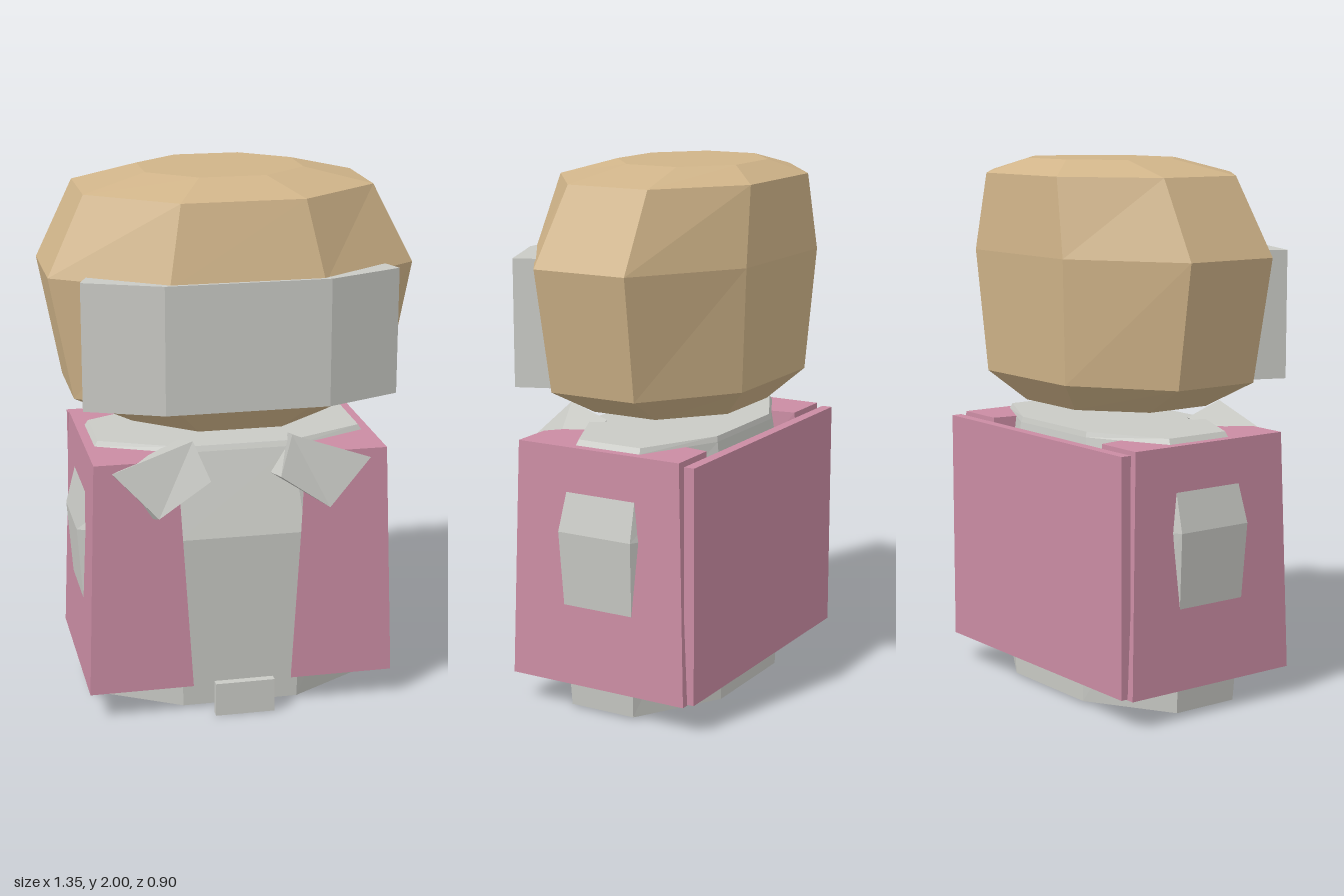
import * as THREE from 'three';

const tan = new THREE.MeshStandardMaterial({ name: 'tan', color: 0xd0b489, flatShading: true });
const pink = new THREE.MeshStandardMaterial({ name: 'pink', color: 0xca8ca3, flatShading: true });
const grey = new THREE.MeshStandardMaterial({ name: 'pale grey', color: 0xc9cac5, flatShading: true });

// Closed faceted solid through rings of equal point count (counter-clockwise seen from the last ring)
function loft(rings) {
  const pos = [];
  const tri = (...pts) => pts.forEach((p) => pos.push(...p));
  const n = rings[0].length;
  for (let r = 0; r < rings.length - 1; r++) {
    for (let i = 0; i < n; i++) {
      const j = (i + 1) % n;
      const a = rings[r][i], b = rings[r][j], c = rings[r + 1][j], d = rings[r + 1][i];
      tri(a, b, c);
      tri(a, c, d);
    }
  }
  const first = rings[0], last = rings[rings.length - 1];
  for (let i = 1; i < n - 1; i++) {
    tri(first[0], first[i + 1], first[i]);
    tri(last[0], last[i], last[i + 1]);
  }
  const g = new THREE.BufferGeometry();
  g.setAttribute('position', new THREE.Float32BufferAttribute(pos, 3));
  g.computeVertexNormals();
  return g;
}

// Horizontal ring from [x, z] pairs
const level = (y, pts) => pts.map(([x, z]) => [x, y, z]);

// Stretched octagon: outer/inner half widths, then front/back depth of the inner and outer corners
const octagon = (y, xo, xi, innerF, innerB, outerF, outerB) => level(y, [
  [xo, outerF], [xo, outerB], [xi, innerB], [-xi, innerB],
  [-xo, outerB], [-xo, outerF], [-xi, innerF], [xi, innerF],
]);

// Mirror rings across x, keeping the winding outward
const mirror = (rings) => rings.map((ring) => ring.map(([x, y, z]) => [-x, y, z]).reverse());

export function createModel() {
  const model = new THREE.Group();
  const add = (name, geometry, material) => {
    const mesh = new THREE.Mesh(geometry, material);
    mesh.name = name;
    model.add(mesh);
    return mesh;
  };

  // Head covering
  add('head', loft([
    octagon(1.095, 0.37, 0.155, 0.31, -0.31, 0.13, -0.13),
    octagon(1.205, 0.59, 0.25, 0.41, -0.42, 0.17, -0.175),
    octagon(1.66, 0.675, 0.28, 0.44, -0.45, 0.18, -0.19),
    octagon(1.945, 0.535, 0.225, 0.36, -0.435, 0.125, -0.2),
    octagon(2.0, 0.295, 0.123, 0.175, -0.32, 0.03, -0.175),
  ]), tan);

  // Wrapped face band
  const band = [[0.58, 0.335], [0.5, 0.13], [-0.5, 0.13], [-0.58, 0.335], [-0.3, 0.45], [0.3, 0.45]];
  add('faceBand', loft([level(1.205, band), level(1.675, band)]), grey);

  // Torso, bulging slightly through the sides of the coat
  add('torso', loft([
    octagon(0.01, 0.54, 0.22, 0.32, -0.325, 0.13, -0.135),
    octagon(0.69, 0.59, 0.24, 0.35, -0.345, 0.15, -0.155),
    octagon(1.0, 0.512, 0.21, 0.26, -0.3, 0.12, -0.15),
    octagon(1.02, 0.5, 0.205, 0.25, -0.295, 0.115, -0.145),
  ]), grey);

  // Open coat halves
  const coat = [
    level(0.107, [[0.58, 0.363], [0.58, -0.368], [0.36, -0.368], [0.188, 0.363]]),
    level(1.0, [[0.548, 0.345], [0.548, -0.332], [0.35, -0.332], [0.242, 0.345]]),
  ];
  add('coatLeft', loft(coat), pink);
  add('coatRight', loft(mirror(coat)), pink);

  // Coat back panel
  add('coatBack', new THREE.BoxGeometry(1.1, 0.88, 0.04), pink).position.set(0, 0.55, -0.375);

  // Collar flaps, lofted from the neck forward
  const collar = [
    [[0.335, 0.783, 0.345], [0.47, 0.93, 0.25], [0.21, 1.025, 0.175], [0.12, 0.91, 0.28]],
    [[0.32, 0.8, 0.402], [0.483, 0.97, 0.36], [0.185, 1.073, 0.35], [0.13, 0.935, 0.412]],
  ];
  // Mirrored rings are rotated so the cap keeps the same crease
  const rotate = (ring) => [ring[3], ring[0], ring[1], ring[2]];
  add('collarLeft', loft(collar), grey);
  add('collarRight', loft(mirror(collar).map(rotate)), grey);

  // Buckle in front of the hem
  add('buckle', new THREE.BoxGeometry(0.225, 0.13, 0.03), grey).position.set(0, 0.065, 0.397);

  return model;
}
